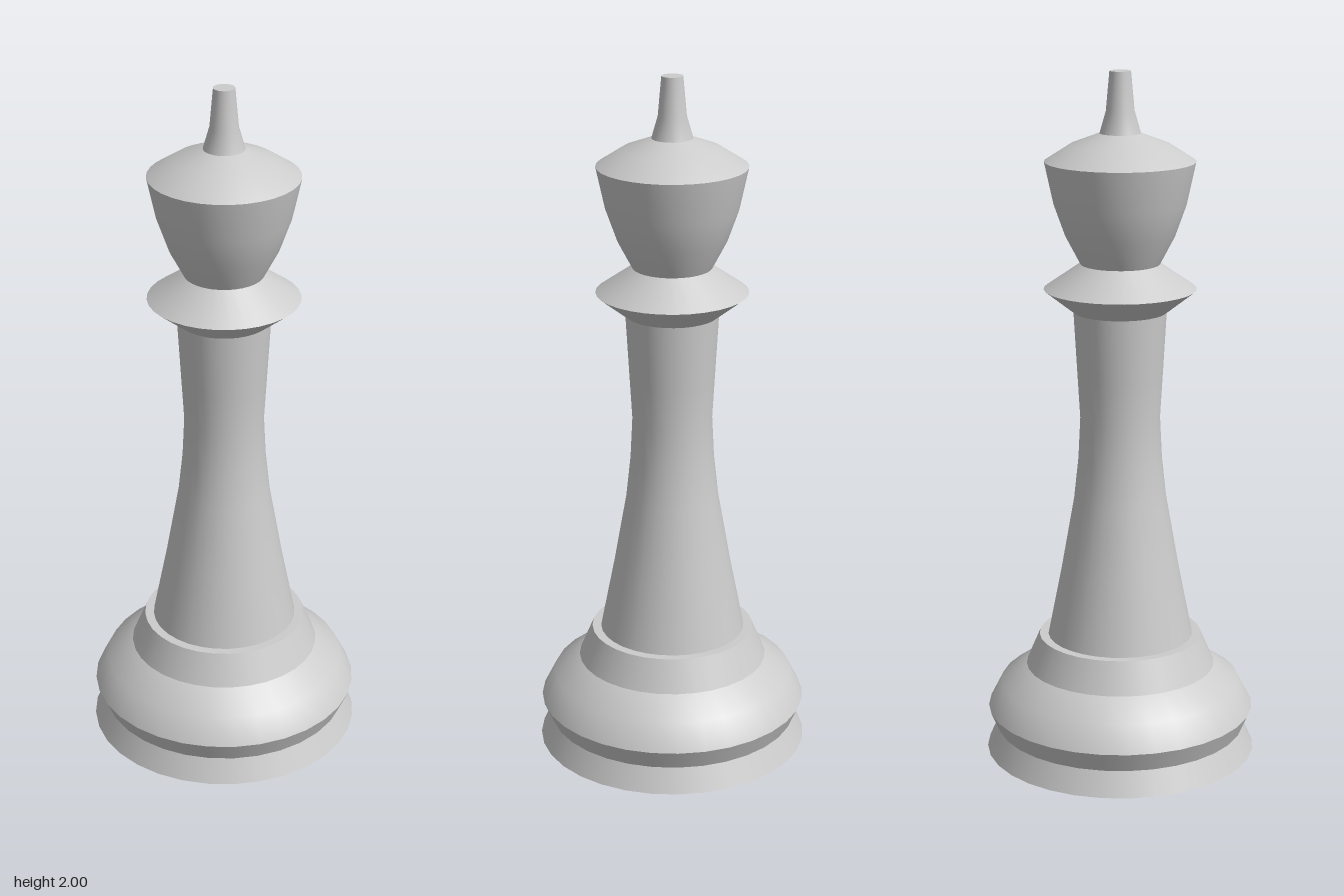
import * as THREE from 'three';

const SEGMENTS = 32;

// Each part is a list of smooth bands; edges between bands stay sharp.
// Profile points are [radius, height], running from bottom to top.
const parts = {
  base: [
    [[0, 0], [0.396, 0]],
    [[0.396, 0], [0.365, 0.07]],
    [[0.365, 0.07], [0.391, 0.13]],
    [[0.391, 0.13], [0.352, 0.207], [0.277, 0.26]],
    [[0.277, 0.26], [0.238, 0.352]],
    [[0.238, 0.352], [0.2, 0.352]],
  ],
  shaft: [
    [[0.212, 0.352], [0.171, 0.56], [0.134, 0.77], [0.121, 0.89], [0.115, 1.01], [0.122, 1.13], [0.133, 1.322]],
  ],
  collar: [
    [[0.133, 1.322], [0.217, 1.388]],
    [[0.217, 1.388], [0.113, 1.46]],
  ],
  head: [
    [[0.113, 1.46], [0.155, 1.54], [0.187, 1.63], [0.213, 1.75]],
    [[0.213, 1.75], [0.14, 1.797], [0.058, 1.828]],
  ],
  finial: [
    [[0.058, 1.828], [0.04, 1.89], [0.03, 2]],
    [[0.03, 2], [0, 2]],
  ],
};

function lathe(points) {
  const profile = points.map(([r, y]) => new THREE.Vector2(r, y));
  return new THREE.LatheGeometry(profile, SEGMENTS);
}

export function createModel() {
  const model = new THREE.Group();
  model.name = 'chessKing';
  const material = new THREE.MeshStandardMaterial({ color: 0xcccccc });

  for (const [name, bands] of Object.entries(parts)) {
    const part = new THREE.Group();
    part.name = name;
    bands.forEach((points, i) => {
      const mesh = new THREE.Mesh(lathe(points), material);
      mesh.name = `${name}Band${i + 1}`;
      part.add(mesh);
    });
    model.add(part);
  }
  return model;
}
